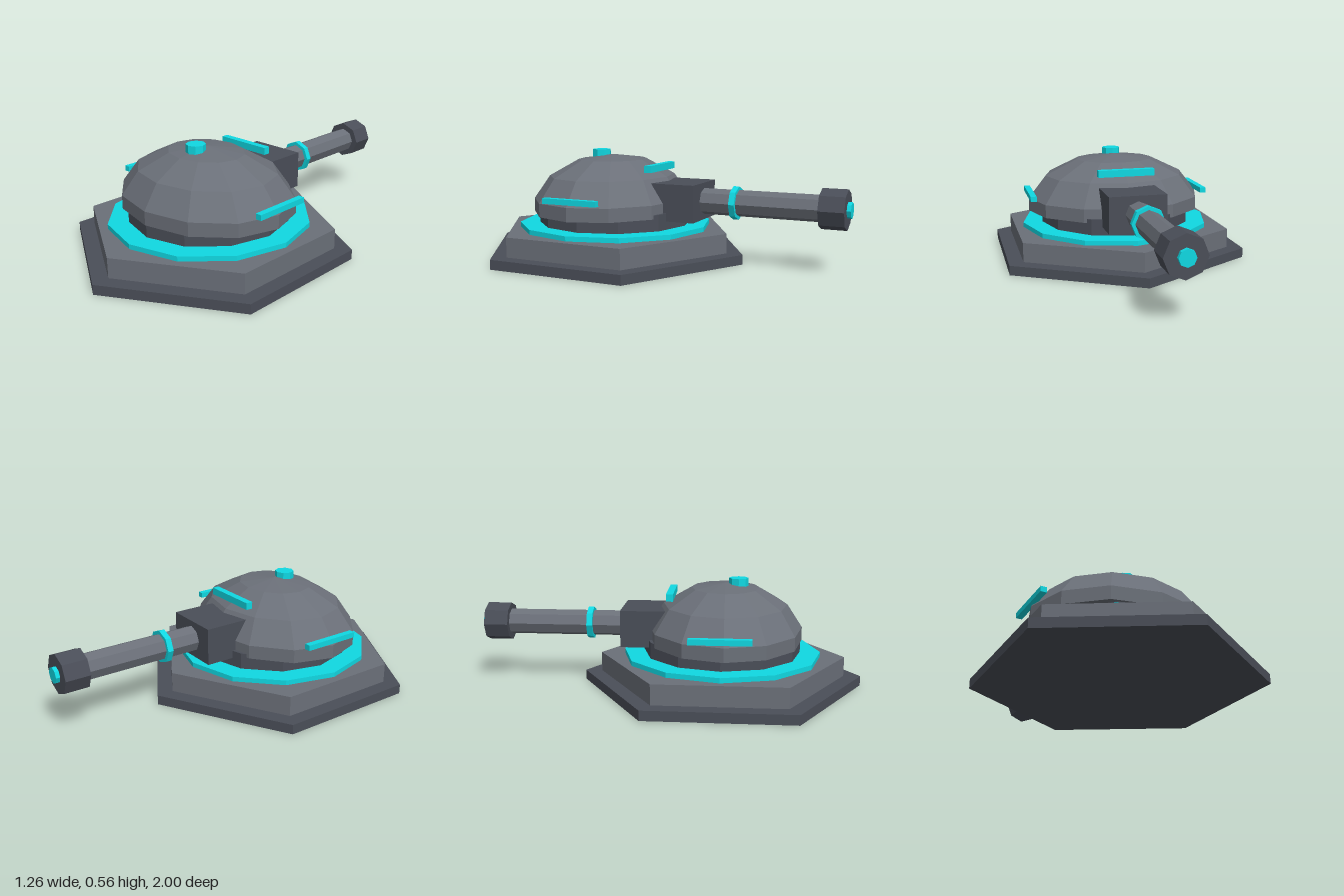
import * as THREE from 'three';

const material = (color) => new THREE.MeshStandardMaterial({ color, flatShading: true });

export function createModel() {
  const model = new THREE.Group();
  const dark = material(0x4a4e58);
  const mid = material(0x6b7079);
  const glow = material(0x10d8e2);
  const baseZ = 0.27;
  const gunY = 0.315;

  const add = (parent, name, geometry, mat, x, y, z) => {
    const mesh = new THREE.Mesh(geometry, mat);
    mesh.name = name;
    mesh.position.set(x, y, z);
    parent.add(mesh);
    return mesh;
  };

  // Upright prism between two heights
  const disc = (parent, name, r, sides, y0, y1, z, mat) =>
    add(parent, name, new THREE.CylinderGeometry(r, r, y1 - y0, sides), mat, 0, (y0 + y1) / 2, z);

  // Prism lying along z between two depths
  const rod = (parent, name, r, z0, z1, mat) =>
    add(parent, name, new THREE.CylinderGeometry(r, r, Math.abs(z1 - z0), 8).rotateX(Math.PI / 2),
      mat, 0, gunY, (z0 + z1) / 2);

  // Stepped hexagonal base with glowing turntable ring
  const base = new THREE.Group();
  base.name = 'base';
  model.add(base);
  disc(base, 'lowerPlate', 0.73, 6, 0, 0.05, baseZ, dark);
  disc(base, 'upperPlate', 0.642, 6, 0.05, 0.152, baseZ, mid);
  disc(base, 'baseGlowRing', 0.515, 12, 0.152, 0.177, baseZ, glow);

  // Turret neck and oval dome
  const turret = new THREE.Group();
  turret.name = 'turret';
  model.add(turret);
  disc(turret, 'neck', 0.41, 12, 0.177, 0.26, baseZ, dark);
  const profile = [[0, 0.24], [0.48, 0.24], [0.48, 0.31], [0.385, 0.43], [0.21, 0.515], [0, 0.54]]
    .map(([r, y]) => new THREE.Vector2(r, y));
  const dome = add(turret, 'dome', new THREE.LatheGeometry(profile, 12), mid, 0, 0, 0.285);
  dome.scale.z = 0.835;

  // Glowing lights on the dome
  disc(turret, 'topBeacon', 0.05, 8, 0.52, 0.565, 0.353, glow);
  for (const [side, name] of [[1, 'leftLight'], [-1, 'rightLight']]) {
    add(turret, name, new THREE.BoxGeometry(0.032, 0.028, 0.3), glow, side * 0.473, 0.338, 0.267);
  }
  add(turret, 'rearLight', new THREE.BoxGeometry(0.3, 0.036, 0.036), glow, 0, 0.48, 0.005);

  // Gun pointing to the rear
  const gun = new THREE.Group();
  gun.name = 'gun';
  model.add(gun);
  add(gun, 'gunMount', new THREE.BoxGeometry(0.3, 0.19, 0.3), dark, 0, gunY, -0.098);
  rod(gun, 'barrel', 0.067, -0.2, -0.88, mid);
  rod(gun, 'barrelGlowRing', 0.085, -0.407, -0.437, glow);
  rod(gun, 'muzzle', 0.1, -0.855, -0.98, dark);
  rod(gun, 'muzzleCore', 0.04, -0.95, -1, glow);

  return model;
}
